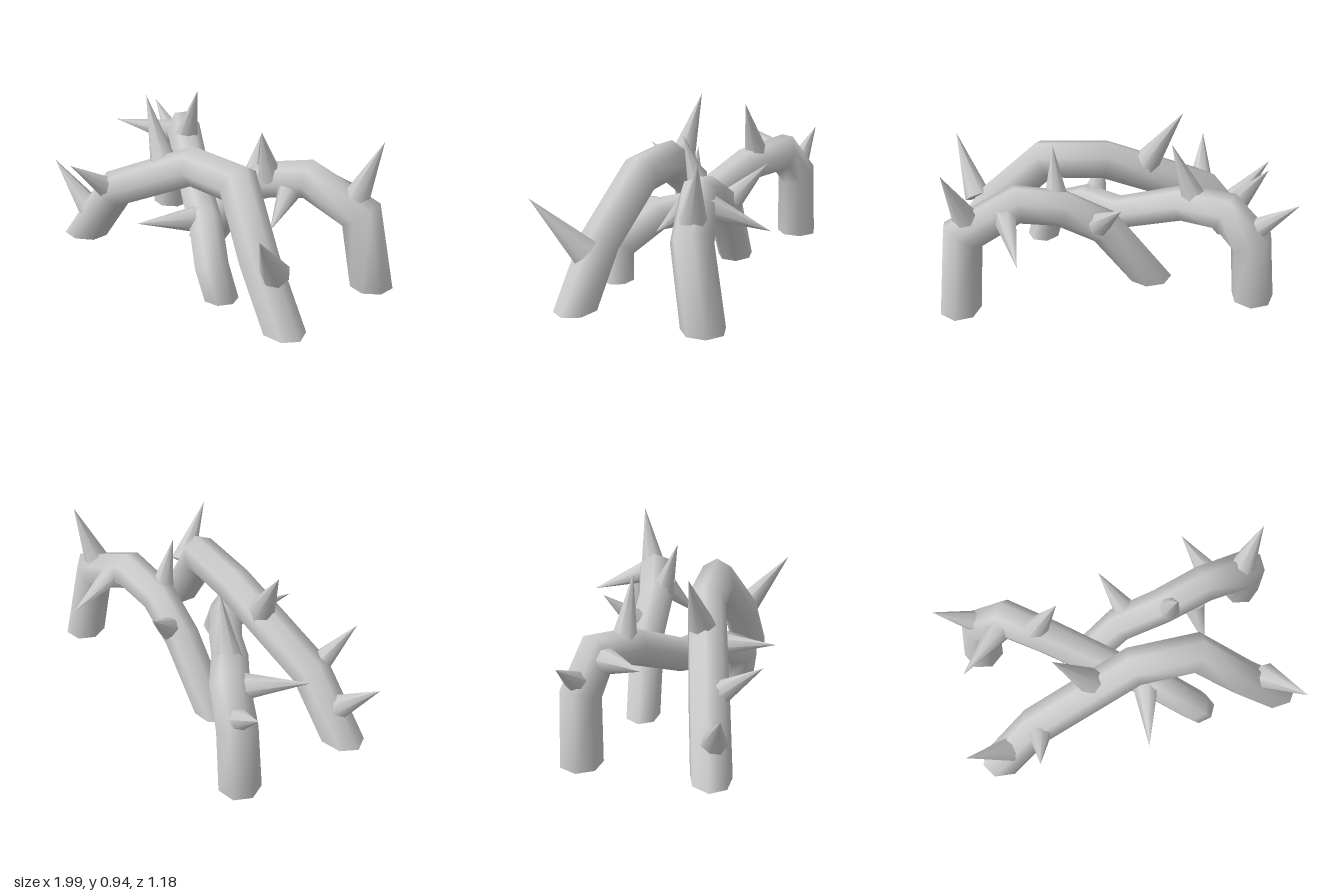
import * as THREE from 'three';

const SIDES = 7;
const UP = new THREE.Vector3(0, 1, 0);
const vec = (p) => new THREE.Vector3(...p);
const material = new THREE.MeshStandardMaterial({ color: 0xcccccc });

// Sweeps a tapering polygon along straight segments, mitred at bends and cut level at the feet
function stemGeometry(path, startRadius, endRadius) {
  const pts = path.map(vec);
  const n = pts.length;
  const radii = pts.map((_, i) => endRadius + (startRadius - endRadius) * (1 - i / (n - 1)) ** 2);
  const dirs = pts.slice(1).map((p, i) => p.clone().sub(pts[i]).normalize());
  const u = new THREE.Vector3(0, 0, 1).cross(dirs[0]).normalize();
  const w = dirs[0].clone().cross(u);
  let ring = [];
  for (let j = 0; j < SIDES; j++) {
    const a = (j / SIDES) * Math.PI * 2;
    ring.push(pts[0].clone().addScaledVector(u, startRadius * Math.cos(a)).addScaledVector(w, startRadius * Math.sin(a)));
  }
  const position = [], index = [];
  const pushRing = (r) => r.forEach((v) => position.push(v.x, v.y, v.z));
  let first;
  for (let i = 0; i < n; i++) {
    const dir = dirs[Math.max(0, i - 1)];
    const normal = i === 0 || i === n - 1 ? UP : dirs[i - 1].clone().add(dirs[i]).normalize();
    const taper = radii[i] / radii[Math.max(0, i - 1)];
    ring = ring.map((v) => v.clone()
      .addScaledVector(dir, pts[i].clone().sub(v).dot(normal) / dir.dot(normal))
      .sub(pts[i]).multiplyScalar(taper).add(pts[i]));
    if (i === 0) first = ring;
    pushRing(ring);
    if (i === n - 1) continue;
    for (let j = 0; j < SIDES; j++) {
      const a = i * SIDES + j, b = i * SIDES + (j + 1) % SIDES;
      index.push(a, b, b + SIDES, a, b + SIDES, a + SIDES);
    }
  }
  // Separate cap vertices keep the cut ends sharp
  [first, ring].forEach((r, end) => {
    const base = position.length / 3;
    pushRing(r);
    for (let j = 1; j < SIDES - 1; j++) {
      if (end) index.push(base, base + j, base + j + 1);
      else index.push(base, base + j + 1, base + j);
    }
  });
  const geometry = new THREE.BufferGeometry();
  geometry.setAttribute('position', new THREE.Float32BufferAttribute(position, 3));
  geometry.setIndex(index);
  geometry.computeVertexNormals();
  return geometry;
}

// Cone from a base centre to a tip
function thorn([base, tip]) {
  const axis = vec(tip).sub(vec(base));
  const length = axis.length();
  const mesh = new THREE.Mesh(new THREE.ConeGeometry(0.045 + 0.085 * length, length, SIDES), material);
  mesh.position.copy(vec(base)).addScaledVector(axis, 0.5);
  mesh.quaternion.setFromUnitVectors(UP, axis.normalize());
  mesh.name = 'thorn';
  return mesh;
}

function vine(name, startRadius, endRadius, path, thorns) {
  const group = new THREE.Group();
  group.name = name;
  const stem = new THREE.Mesh(stemGeometry(path, startRadius, endRadius), material);
  stem.name = 'stem';
  group.add(stem, ...thorns.map(thorn));
  return group;
}

export function createModel() {
  const model = new THREE.Group();
  model.name = 'thornyVines';

  // Tall arch along the front
  model.add(vine('frontVine', 0.114, 0.11,
    [[-0.81, 0.005, 0.335], [-0.57, 0.35, 0.285], [0.02, 0.635, 0.185],
      [0.37, 0.64, 0.2], [0.645, 0.325, 0.32], [0.86, 0.02, 0.36]],
    [
      [[-0.76, 0.19, 0.34], [-1, 0.45, 0.4]],
      [[-0.57, 0.37, 0.33], [-0.61, 0.565, 0.57]],
      [[-0.22, 0.59, 0.2], [-0.42, 0.94, 0.15]],
      [[0.78, 0.31, 0.34], [0.9, 0.61, 0.59]],
    ]));

  // Low vine passing under the front arch
  model.add(vine('crossingVine', 0.12, 0.094,
    [[-0.785, 0.02, -0.36], [-0.75, 0.41, -0.36], [-0.61, 0.57, -0.305], [-0.4, 0.53, -0.15],
      [-0.06, 0.335, 0.07], [0.13, 0.335, 0.21], [0.34, 0.195, 0.365], [0.39, 0.02, 0.345]],
    [
      [[-0.74, 0.46, -0.36], [-0.99, 0.66, -0.41]],
      [[-0.65, 0.56, -0.25], [-0.9, 0.64, -0.01]],
      [[-0.46, 0.57, -0.19], [-0.32, 0.92, -0.16]],
      [[0.085, 0.35, 0.22], [0, 0.41, 0.59]],
    ]));

  // Arch at the back
  model.add(vine('backVine', 0.118, 0.101,
    [[0.87, 0.02, -0.355], [0.83, 0.465, -0.28], [0.53, 0.6, -0.2],
      [0.28, 0.535, -0.158], [0.04, 0.405, -0.165], [-0.225, 0.02, -0.14]],
    [
      [[0.08, 0.46, -0.22], [-0.03, 0.66, -0.4]],
      [[0.31, 0.57, -0.12], [0.32, 0.86, -0.03]],
      [[0.46, 0.53, -0.11], [0.485, 0.36, 0.065]],
      [[0.6, 0.585, -0.24], [0.53, 0.46, -0.59]],
      [[0.8, 0.55, -0.27], [0.91, 0.88, -0.34]],
    ]));
  return model;
}
